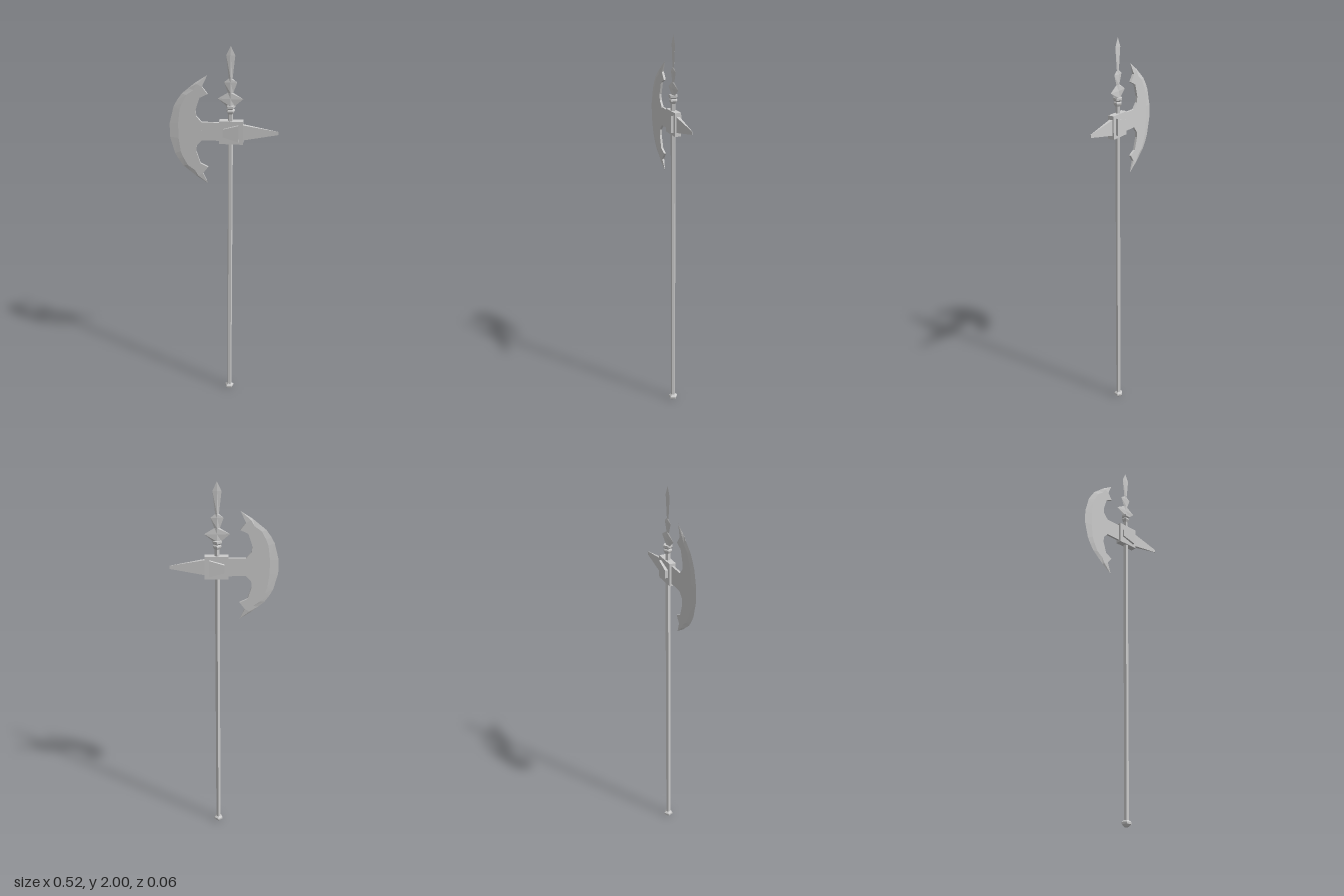
import * as THREE from 'three';

const POLE_X = 0.032; // axis of the pole
const HEAD_Y = 1.584; // height of the axe head's centre line
const steel = new THREE.MeshStandardMaterial({ color: 0xcccccc, flatShading: true });

// Skin a row of equal closed rings, cap both ends and turn the faces outward.
function loft(rings) {
  const tris = [];
  const n = rings[0].length;
  const add = (a, b, c) => tris.push([a, b, c].map((p) => new THREE.Vector3(...p)));
  for (let i = 0; i < rings.length - 1; i++) {
    for (let j = 0; j < n; j++) {
      const k = (j + 1) % n;
      add(rings[i][j], rings[i][k], rings[i + 1][k]);
      add(rings[i][j], rings[i + 1][k], rings[i + 1][j]);
    }
  }
  const first = rings[0];
  const last = rings[rings.length - 1];
  for (let j = 1; j < n - 1; j++) {
    add(first[0], first[j + 1], first[j]);
    add(last[0], last[j], last[j + 1]);
  }
  const origin = tris[0][0].clone();
  let volume = 0;
  for (const [a, b, c] of tris) {
    volume += a.clone().sub(origin).dot(b.clone().sub(origin).cross(c.clone().sub(origin)));
  }
  const points = tris.flatMap(([a, b, c]) => (volume < 0 ? [a, c, b] : [a, b, c]));
  const geometry = new THREE.BufferGeometry().setFromPoints(points);
  geometry.computeVertexNormals();
  return geometry;
}

// Rectangle across the x axis
const rect = (x, y0, y1, z0, z1) => [[x, y0, z0], [x, y1, z0], [x, y1, z1], [x, y0, z1]];

// Crescent blade: each station pairs a sharp outer point with an inner point
function bladeGeometry() {
  const half = [
    [-0.262, 0.035, -0.106, 0.046],
    [-0.24, 0.12, -0.132, 0.075],
    [-0.224, 0.15, -0.135, 0.105],
    [-0.2, 0.185, -0.115, 0.168],
    [-0.168, 0.212, -0.077, 0.187],
    [-0.135, 0.24, -0.103, 0.222],
    [-0.077, 0.278, -0.077, 0.278],
  ];
  const lower = half.map(([ox, oy, ix, iy]) => [ox, -oy, ix, -iy]).reverse();
  const stations = [...lower, ...half];
  return loft(stations.map(([ox, oy, ix, iy], i) => {
    const t = i === 0 || i === stations.length - 1 ? 0 : 0.0055;
    const rx = ox + (ix - ox) * 0.27;
    const ry = oy + (iy - oy) * 0.27;
    return [[ox, oy, 0], [rx, ry, t], [ix, iy, t], [ix, iy, -t], [rx, ry, -t]];
  }));
}

export function createModel() {
  const model = new THREE.Group();
  model.name = 'poleaxe';
  const add = (name, geometry, x = 0, y = 0) => {
    const mesh = new THREE.Mesh(geometry, steel);
    mesh.name = name;
    mesh.position.set(x, y, 0);
    model.add(mesh);
    return mesh;
  };
  // Five-sided turned part with a corner to the back
  const turned = (name, profile) => {
    const points = profile.map(([r, y]) => new THREE.Vector2(r, y));
    add(name, new THREE.LatheGeometry(points, 5), POLE_X).rotation.y = Math.PI;
  };

  // Pole with its foot and the neck rings under the spear point
  turned('pole', [[0, 0.02], [0.0125, 0.02], [0.0125, 1.69], [0, 1.69]]);
  turned('pommel', [[0, 0], [0.013, 0], [0.024, 0.011], [0.024, 0.021], [0.013, 0.03], [0, 0.03]]);
  turned('neckRings', [
    [0, 1.676], [0.014, 1.676], [0.021, 1.688], [0.021, 1.694], [0.016, 1.7],
    [0.023, 1.707], [0.023, 1.718], [0, 1.718],
  ]);

  // Flat spear point with diamond section: height, half width, half thickness
  const spear = [
    [1.715, 0.02, 0.007], [1.75, 0.061, 0.006], [1.78, 0.013, 0.005], [1.83, 0.031, 0.005],
    [1.848, 0.009, 0.004], [1.957, 0.021, 0.003], [2, 0.001, 0],
  ];
  add('spearPoint', loft(spear.map(([y, w, t]) => [[w, y, 0], [0, y, t], [-w, y, 0], [0, y, -t]])), POLE_X);

  // Axe blade and the arm joining it to the socket
  add('axeBlade', bladeGeometry(), 0, HEAD_Y);
  add('bladeArm', new THREE.BoxGeometry(0.13, 0.092, 0.0108), -0.055, HEAD_Y);

  // Socket block with a slightly skewed wedge plate through it
  add('socket', new THREE.BoxGeometry(0.115, 0.116, 0.032), 0.036, HEAD_Y);
  add('socketPlate', loft([
    rect(-0.003, -0.02, 0.02, -0.031, 0.024),
    rect(0.072, -0.042, 0.042, -0.027, 0.028),
  ]), 0, HEAD_Y);

  // Rear spike
  add('rearSpike', loft([
    rect(0.085, -0.04, 0.04, -0.009, 0.009),
    rect(0.262, -0.008, 0.008, -0.0006, 0.0006),
  ]), 0, HEAD_Y);

  return model;
}
